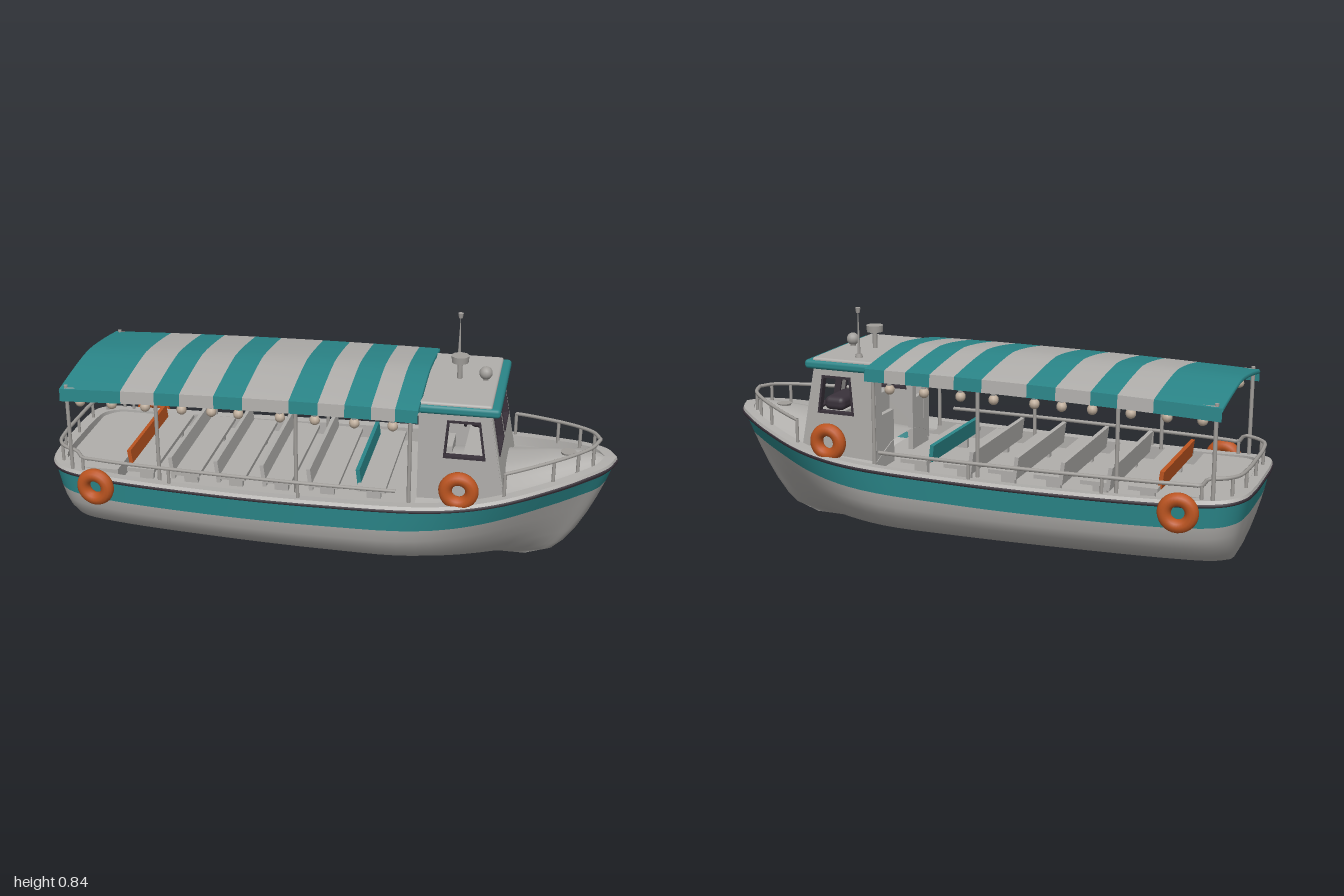
import * as THREE from 'three';
import { mergeVertices, toCreasedNormals } from 'three/addons/utils/BufferGeometryUtils.js';
import { RoundedBoxGeometry } from 'three/addons/geometries/RoundedBoxGeometry.js';

const V = (x, y, z) => new THREE.Vector3(x, y, z);
const { lerp, smoothstep } = THREE.MathUtils;

export function createModel() {
  const boat = new THREE.Group();
  boat.name = 'tourBoat';
  const mat = (name, color) => {
    const m = new THREE.MeshStandardMaterial({ color, side: THREE.DoubleSide });
    m.name = name;
    return m;
  };
  const light = mat('lightGrey', 0xb0aeab), teal = mat('teal', 0x2a8588), dark = mat('darkTrim', 0x3a323b);
  const orange = mat('orange', 0xbb5420), cream = mat('cream', 0xbfae9c), metal = mat('railGrey', 0xa19e9a);

  const add = (name, geo, material, x = 0, y = 0, z = 0, parent = boat) => {
    const m = new THREE.Mesh(geo, material);
    m.name = name;
    m.position.set(x, y, z);
    parent.add(m);
    return m;
  };
  const box = (name, w, h, d, material, x, y, z) => add(name, new THREE.BoxGeometry(w, h, d), material, x, y, z);
  const post = (name, x, y0, y1, z, r, material) =>
    add(name, new THREE.CylinderGeometry(r, r, y1 - y0, 8), material, x, (y0 + y1) / 2, z);
  const tube = (name, pts, r, material, closed = false) =>
    add(name, new THREE.TubeGeometry(new THREE.CatmullRomCurve3(pts, closed), pts.length * 2, r, 6, closed), material);
  const mirror = p => V(p.x, p.y, -p.z);

  // Skin through half sections, mirrored across the centreline
  const skin = (name, sections, material, crease = 0.9) => {
    const pos = [];
    const tri = (a, b, c) => {
      pos.push(...a.toArray(), ...b.toArray(), ...c.toArray());
      pos.push(...mirror(a).toArray(), ...mirror(c).toArray(), ...mirror(b).toArray());
    };
    for (let i = 0; i < sections.length - 1; i++) {
      for (let j = 0; j < sections[i].length - 1; j++) {
        const [a, b, c, d] = [sections[i][j], sections[i + 1][j], sections[i + 1][j + 1], sections[i][j + 1]];
        tri(a, b, c);
        tri(a, c, d);
      }
    }
    let geo = new THREE.BufferGeometry();
    geo.setAttribute('position', new THREE.Float32BufferAttribute(pos, 3));
    geo = mergeVertices(geo, 1e-5);
    return add(name, toCreasedNormals(geo, crease), material);
  };

  // Sheer line from stern centre around to the stem: x, height, half beam
  const sheer = new THREE.CatmullRomCurve3([
    [-.995, .33, 0], [-.993, .33, .13], [-.978, .328, .225], [-.93, .322, .275], [-.8, .313, .303], [-.4, .306, .333],
    [0, .308, .346], [.4, .318, .336], [.6, .338, .293], [.8, .37, .195], [.9, .389, .13], [.965, .399, .07], [.995, .403, 0],
  ].map(p => V(...p)));
  const rim = sheer.getPoints(72);
  const loop = pts => [...pts, ...pts.slice(1, -1).reverse().map(mirror)];

  // Hull sections: bottom, painted band, dark rubbing strake
  const zMid = [0, .285, .555, .79, .91, .97, .99, 1, 1];
  const zBow = [0, .14, .27, .4, .54, .67, .8, .95, 1];
  const yMid = [0, .07, .15, .28, .42, .56, .7];
  const hull = rim.map(p => {
    const keelX = p.x < 0 ? p.x * .9 : p.x - .3 * (Math.max(0, p.x - .2) / .8) ** 2;
    const keelY = Math.max(0, .008 - .022 * p.x);
    const bow = smoothstep(p.x, .2, 1), height = p.y - keelY;
    const band = 1 - .088 / height;
    const levels = [...yMid.map(f => f / .7 * band), 1 - (.016 + .012 * bow) / height, 1];
    return levels.map((k, j) => V(keelX + (p.x - keelX) * k ** lerp(.58, .45, bow), keelY + height * k,
      p.z * lerp(zMid[j], zBow[j], bow)));
  });
  skin('hull', hull.map(s => s.slice(0, 7)), light);
  skin('hullBand', hull.map(s => s.slice(6, 8)), teal);
  skin('rubbingStrake', hull.map(s => s.slice(7)), dark);
  tube('rubRail', loop(rim.map(p => V(p.x * .998, p.y - .008, p.z * .998))), .009, dark, true);

  // Gunwale, well floor and foredeck, which crowns up from inside the bulwark
  const inset = p => V(p.x * .96, p.y + .006, p.z * .9);
  skin('gunwale', rim.map(p => [V(p.x * 1.003, p.y - .002, p.z * 1.022), V(p.x, p.y + .008, p.z), inset(p)]), light, .4);
  skin('well', rim.filter(p => p.x < .45).map(p => {
    const q = inset(p);
    return [q, V(q.x, .265, q.z), V(q.x, .265, 0)];
  }), light, .5);
  skin('foredeck', rim.filter(p => p.x > .33).map(p => {
    const q = inset(p), k = Math.min(1, p.z / .2);
    const rows = [.96, .85, .7, .55, .35, .18, 0].map(f =>
      V(q.x, q.y - .032 * k + .062 * k * (1 - smoothstep(f, .2, .95)), q.z * f));
    return [q, ...rows];
  }), light);

  // Benches across the well: the first and last have coloured, lower backs
  for (let i = 0; i < 6; i++) {
    const x = -.65 + i * .165, plain = i % 5 !== 0;
    box('benchSeat', .1, .014, .5, light, x, .325, 0);
    box('benchBack', .014, plain ? .08 : .06, plain ? .5 : .42, i === 0 ? orange : i === 5 ? teal : light,
      x - .05, plain ? .345 : .35, 0).rotation.z = .12;
    for (const z of [-.18, .18]) box('benchLeg', .05, .06, .02, light, x, .29, z);
  }
  box('sternDeck', .21, .06, .5, light, -.84, .29, 0);

  // Side, stern and bow railings
  const sideRail = rim.filter(p => p.x < .34).map(p => V(p.x * .975, p.x < -.88 ? .395 : .37, p.z * .95));
  tube('sideRail', [...sideRail.slice(1).reverse().map(mirror), ...sideRail], .007, metal);
  const bowRail = rim.filter(p => p.x > .6).map(p =>
    V(.6 + (p.x - .6) * .85, .43 + .042 * (p.x - .6) / .4, p.z * .92));
  tube('bowRail', [...bowRail, ...bowRail.slice(0, -1).reverse().map(mirror)], .007, metal);
  const railPosts = (name, rail, step, base) => {
    for (let i = 0; i < rail.length; i += step) {
      for (const s of [-1, 1]) post(name, rail[i].x, base(rail[i]), rail[i].y, s * rail[i].z, .006, metal);
    }
  };
  railPosts('sideRailPost', sideRail, 7, () => .31);
  railPosts('bowRailPost', bowRail, 6, p => .335 + .065 * (p.x - .6) / .35);

  // Striped canopy with side valances
  const roofY = (x, f) => .69 - .021 * (x - .1) ** 2 - .035 * f ** 1.4;
  const canopySection = x => [
    ...[0, .2, .4, .6, .8, .95, 1].map(f => V(x, roofY(x, f), .295 * f)), V(x, roofY(x, 1) - .044, .298)];
  const edges = [-.91, -.69, -.57, -.48, -.36, -.26, -.1, 0, .09, .18, .26, .335];
  for (let i = 0; i < edges.length - 1; i++) {
    const mid = (edges[i] + edges[i + 1]) / 2;
    skin('canopyStripe', [edges[i], mid, edges[i + 1]].map(canopySection), i % 2 ? light : teal, .6);
  }
  for (const x of [-.905, .33]) {
    const arch = [1, .8, .6, .4, .2, 0].map(f => V(x, roofY(x, f) - .008, .292 * f));
    tube('canopyEndBow', [...arch, ...arch.slice(0, -1).reverse().map(mirror)], .008, teal);
  }
  for (const s of [-1, 1]) {
    for (const x of [-.89, -.57, -.08, .31]) post('canopyPole', x, .31, .645, s * .282, .007, metal);
    const bar = post('canopySideBar', 0, 0, 1.21, 0, .006, metal);
    bar.rotation.z = Math.PI / 2;
    bar.position.set(-.29, .632, s * .284);
    // Hanging lamps
    for (const x of [-.845, -.73, -.61, -.48, -.375, -.28, -.135, -.015, .12, .25]) {
      post('lampCap', x, .597, .625, s * .276, .008, metal);
      add('lamp', new THREE.SphereGeometry(.018, 10, 8), cream, x, .584, s * .274);
    }
  }

  // Wheelhouse panels: outline with window openings, plus dark window frames
  const poly = pts => new THREE.Shape(pts.map(p => new THREE.Vector2(...p)));
  const panel = (name, outline, holes, depth, material, parent) => {
    const s = poly(outline);
    s.holes = holes.map(poly);
    return add(name, new THREE.ExtrudeGeometry(s, { depth, bevelEnabled: false }), material, 0, 0, 0, parent);
  };
  const grow = (pts, k) => {
    const cx = pts.reduce((a, p) => a + p[0], 0) / pts.length, cy = pts.reduce((a, p) => a + p[1], 0) / pts.length;
    return pts.map(p => [cx + (p[0] - cx) * k, cy + (p[1] - cy) * k]);
  };
  const sideWindow = [[.42, .465], [.555, .465], [.535, .595], [.43, .595]];
  for (const s of [-1, 1]) {
    panel('wheelhouseSide', [[.33, .28], [.625, .32], [.57, .625], [.33, .625]], [sideWindow], .018, light)
      .position.z = s * .217 - .009;
    panel('sideWindowFrame', grow(sideWindow, 1.07), [grow(sideWindow, .94)], .024, dark).position.z = s * .217 - .012;
    box('rearPillar', .02, .34, .05, light, .34, .455, s * .2);
    box('rearWall', .018, .2, .14, light, .34, .36, s * .15);
  }
  box('rearDoorPost', .02, .36, .03, light, .34, .45, .095);
  const front = new THREE.Group();
  front.name = 'windscreen';
  front.position.set(.608, .34, 0);
  front.rotation.y = Math.PI / 2;
  boat.add(front);
  const panes = [-1, 1].map(s => [[s * .022, .125], [s * .19, .125], [s * .183, .262], [s * .022, .262]]);
  panel('windscreenWall', [[-.225, -.03], [.225, -.03], [.222, .29], [-.222, .29]], panes, .018, light, front).rotation.x = -.185;
  for (const p of panes) {
    const f = panel('windscreenFrame', grow(p, 1.04), [grow(p, .95)], .024, dark, front);
    f.rotation.x = -.185;
    f.position.z = -.003;
  }

  // Wheelhouse roof
  add('roofEdge', new RoundedBoxGeometry(.285, .032, .48, 3, .012), teal, .46, .637, 0);
  add('roofTop', new RoundedBoxGeometry(.252, .018, .464, 3, .008), light, .448, .653, 0);

  // Helm console and wheel
  box('console', .1, .15, .38, light, .53, .385, 0);
  add('dashboard', new RoundedBoxGeometry(.08, .05, .15, 3, .02), dark, .52, .485, -.108);
  const wheel = add('steeringWheel', new THREE.TorusGeometry(.032, .005, 6, 20), dark, .46, .475, -.1);
  wheel.rotation.y = Math.PI / 2;
  box('helmSeat', .06, .12, .12, light, .39, .32, -.1);

  // Roof fittings: radar, searchlight, aerial
  post('radarPost', .44, .655, .725, 0, .009, metal);
  add('radarDome', new THREE.CylinderGeometry(.031, .029, .024, 20), metal, .44, .734, 0);
  post('searchlightPost', .53, .655, .68, 0, .01, metal);
  add('searchlight', new THREE.SphereGeometry(.023, 14, 10), metal, .53, .688, 0);
  add('aerial', new THREE.CylinderGeometry(.001, .007, .17, 8), metal, .42, .738, -.168);
  add('aerialBase', new THREE.CylinderGeometry(.011, .016, .02, 10), metal, .42, .665, -.168);
  add('aerialTip', new THREE.CylinderGeometry(.01, .007, .018, 8), metal, .42, .831, -.168);

  // Mooring bitt on the bow
  post('bittBase', .83, .37, .405, 0, .018, dark);
  add('bittCap', new THREE.CylinderGeometry(.028, .024, .012, 14), metal, .83, .411, 0);

  // Life rings
  for (const s of [-1, 1]) {
    for (const [x, y, z, turn] of [[-.79, .288, .332, .1], [.48, .379, .304, 0]]) {
      const ring = add('lifeRing', new THREE.TorusGeometry(.045, .023, 12, 28), orange, x, y, s * z);
      ring.rotation.y = -s * turn;
    }
  }
  return boat;
}
